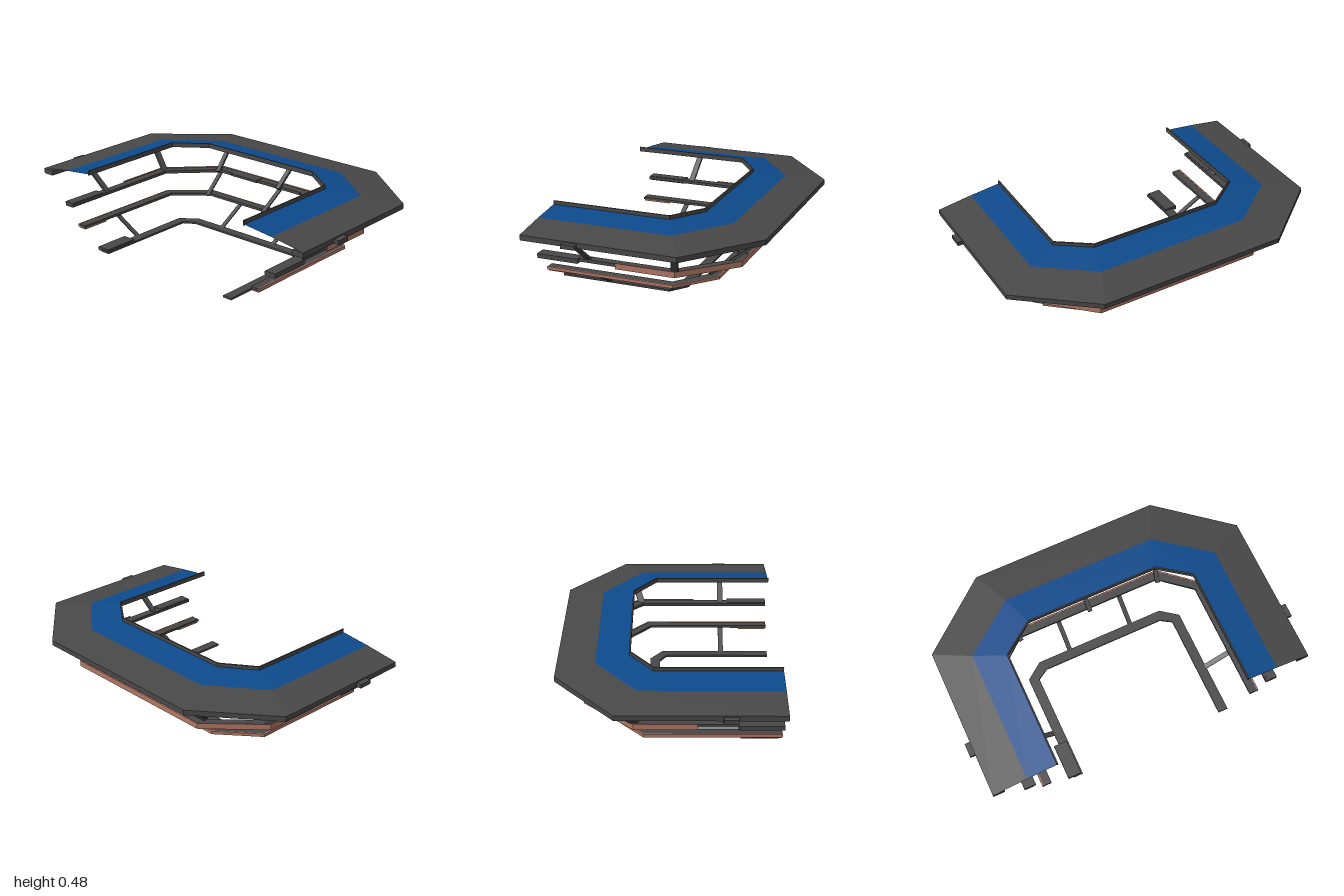
import * as THREE from 'three';

const FRONT = 0.615;

// Plan of a U with chamfered corners: side x, z where the corner starts, x where it ends, back z
const plan = (x, zs, xc, zb, zf = FRONT) =>
  [[-x, zf], [-x, zs], [-xc, zb], [xc, zb], [x, zs], [x, zf]];

const inset = ([x, zs, xc, zb], w) => [x - w, zs + 0.41 * w, xc - 0.41 * w, zb + w];

export function createModel() {
  const group = new THREE.Group();
  const mat = (name, color, side = THREE.FrontSide) => {
    const m = new THREE.MeshStandardMaterial({ color, side });
    m.name = name;
    return m;
  };
  const grey = mat('dark grey steel', 0x484848, THREE.DoubleSide);
  const blue = mat('blue roof panel', 0x0d4a8c, THREE.DoubleSide);
  const copper = mat('copper cladding', 0xb27765);

  const add = (name, geometry, material) => {
    const mesh = new THREE.Mesh(geometry, material);
    mesh.name = name;
    group.add(mesh);
    return mesh;
  };

  // Solid U-shaped ring of width w between two heights
  const ring = (name, spec, w, y0, y1, material, zf = FRONT) => {
    const points = [...plan(...spec, zf), ...plan(...inset(spec, w), zf).reverse()];
    const shape = new THREE.Shape(points.map(([x, z]) => new THREE.Vector2(x, -z)));
    const geo = new THREE.ExtrudeGeometry(shape, { depth: y1 - y0, bevelEnabled: false });
    geo.rotateX(-Math.PI / 2).translate(0, y0, 0);
    add(name, geo, material);
  };

  // Sloping roof sheet between an outer and an inner U
  const band = (name, outer, yo, inner, yi, material) => {
    const a = plan(...outer), b = plan(...inner), pos = [];
    for (let i = 0; i < 5; i++) {
      const p = [a[i][0], yo, a[i][1]], q = [a[i + 1][0], yo, a[i + 1][1]];
      const r = [b[i + 1][0], yi, b[i + 1][1]], s = [b[i][0], yi, b[i][1]];
      pos.push(...p, ...r, ...q, ...p, ...s, ...r);
    }
    const geo = new THREE.BufferGeometry();
    geo.setAttribute('position', new THREE.Float32BufferAttribute(pos, 3));
    // top faces outward
    for (let i = 0; i < pos.length; i += 9) {
      const swap = pos.slice(i + 3, i + 6);
      pos.splice(i + 3, 3, ...pos.slice(i + 6, i + 9));
      pos.splice(i + 6, 3, ...swap);
    }
    geo.setAttribute('position', new THREE.Float32BufferAttribute(pos, 3));
    geo.computeVertexNormals();
    add(name, geo, material);
  };

  const box = (name, x, y, z, w, h, d, material = grey) =>
    add(name, new THREE.BoxGeometry(w, h, d), material).position.set(x, y, z);

  // Flat strut from a to b, its width running along the given horizontal axis
  const strut = (name, a, b, axis, width, thick) => {
    const from = new THREE.Vector3(...a), to = new THREE.Vector3(...b);
    const up = to.clone().sub(from);
    const length = up.length();
    up.normalize();
    const out = new THREE.Vector3(...axis).cross(up).normalize();
    const side = up.clone().cross(out);
    const geo = new THREE.BoxGeometry(width, length, thick);
    geo.applyMatrix4(new THREE.Matrix4().makeBasis(side, up, out));
    const mid = from.add(to).multiplyScalar(0.5);
    add(name, geo.translate(mid.x, mid.y, mid.z), grey);
  };

  // Roof
  const eave = [0.97, -0.28, 0.56, -0.615];
  const seam = [0.765, -0.165, 0.46, -0.4];
  const lip = [0.587, -0.08, 0.4, -0.217];
  ring('roofFascia', eave, 0.07, 0.376, 0.406, grey);
  band('outerRoof', eave, 0.407, seam, 0.437, grey);
  band('blueRoof', seam, 0.437, lip, 0.457, blue);
  ring('innerRoofRim', lip, 0.008, 0.45, 0.478, grey);

  // Tiers, top to bottom
  const upper = [0.775, -0.185, 0.5, -0.458];
  const middle = [0.685, -0.135, 0.47, -0.32];
  const lower = [0.5, -0.04, 0.4, -0.115];
  ring('upperTier', upper, 0.05, 0.22, 0.238, grey);
  ring('upperCladding', inset(upper, -0.007), 0.007, 0.21, 0.243, copper, 0.155);
  ring('middleTier', middle, 0.05, 0.109, 0.124, grey);
  ring('middleCladding', inset(middle, -0.006), 0.008, 0.107, 0.125, copper);
  ring('lowerTier', lower, 0.058, 0, 0.012, grey);
  box('lowerTierPlatform', -0.49, 0.011, 0.505, 0.08, 0.022, 0.21);

  // Struts along the back
  for (const x of [-0.2, 0.2])
    strut('lowerBackStrut', [x, 0.008, -0.1], [x, 0.112, -0.28], [1, 0, 0], 0.027, 0.006);
  for (const s of [-1, 0, 1]) {
    strut('middleBackStrut', [s * 0.45, 0.115, -0.25], [s * 0.485, 0.225, -0.425], [1, 0, 0], 0.027, 0.008);
    strut('upperBackStrut', [s * 0.485, 0.228, -0.39], [s * 0.53, 0.39, -0.59], [1, 0, 0], 0.028, 0.014);
    if (s === 0) continue;

    // Parts on both sides
    strut('lowerSideStrut', [s * 0.49, 0.006, 0.325], [s * 0.68, 0.113, 0.325], [0, 0, 1], 0.03, 0.006);
    strut('upperSideStrut', [s * 0.745, 0.23, 0.325], [s * 0.94, 0.385, 0.325], [0, 0, 1], 0.034, 0.014);
    strut('upperCornerStrut', [s * 0.745, 0.23, -0.175], [s * 0.93, 0.385, -0.25], [0, 0, 1], 0.04, 0.014);
    box('roofTab', s * 0.975, 0.387, 0.32, 0.05, 0.024, 0.08);
    box('upperTierPlatform', s * 0.765, 0.227, 0.493, 0.06, 0.026, 0.244);
    box('upperBackPlatform', s * 0.27, 0.234, -0.425, 0.2, 0.014, 0.075);
    box('middleLedge', s * 0.66, 0.105, 0.525, 0.045, 0.01, 0.17, copper);
  }
  return group;
}
